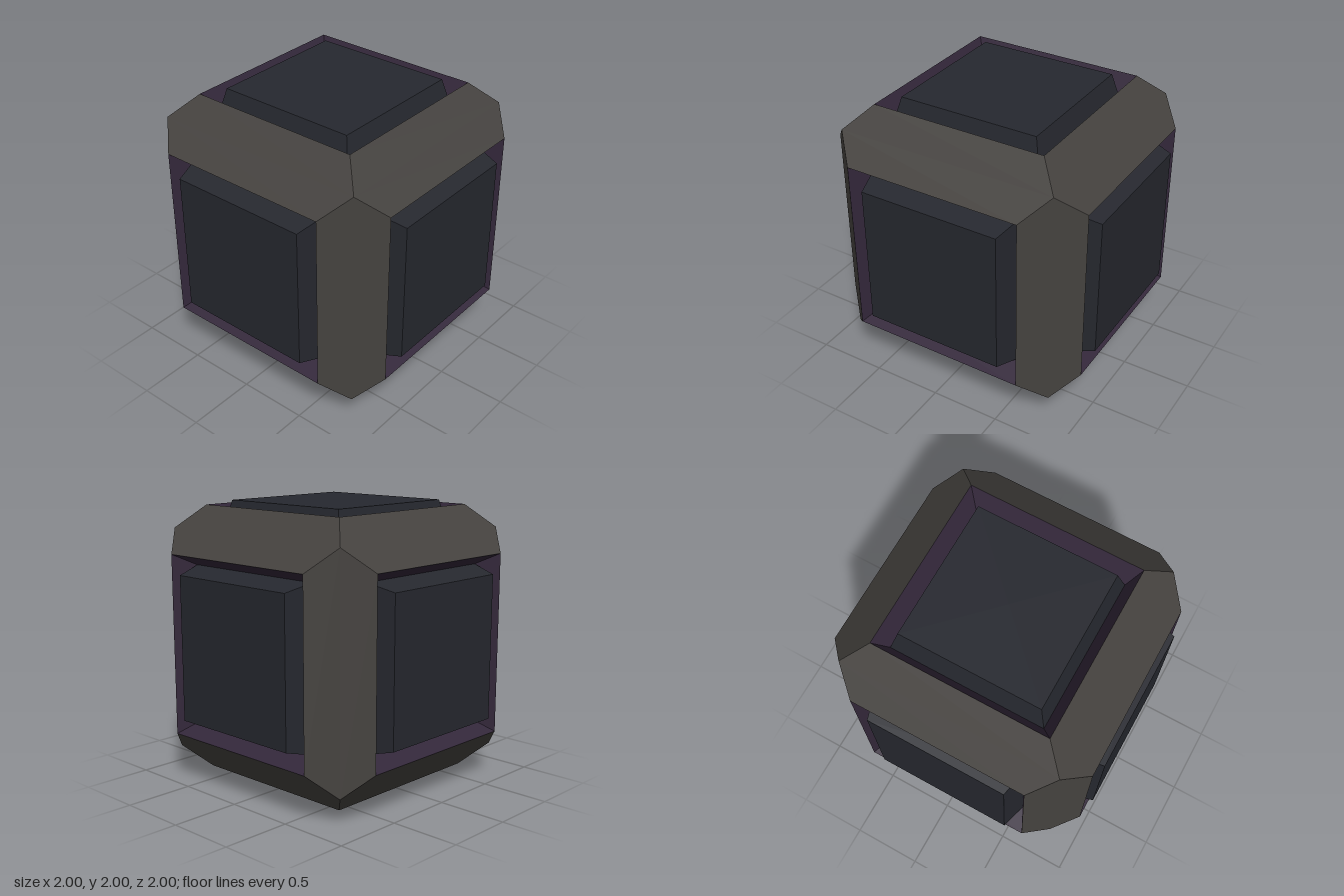
import * as THREE from 'three';

const U = 1 / 6.2; // grid unit: the cube measures 12.4 units across the panels

const frameMat = new THREE.MeshStandardMaterial({ color: 0x45423f, flatShading: true });
const grooveMat = new THREE.MeshStandardMaterial({ color: 0x33273a, flatShading: true });
const panelMat = new THREE.MeshStandardMaterial({ color: 0x26282f, flatShading: true });

// Strip running along y through stations [x, z, halfLength], so its ends are mitred
function mitredStrip(stations) {
  const pos = [];
  for (let i = 0; i < stations.length - 1; i++) {
    const [ax, az, al] = stations[i];
    const [bx, bz, bl] = stations[i + 1];
    pos.push(ax, -al, az, bx, -bl, bz, bx, bl, bz);
    pos.push(ax, -al, az, bx, bl, bz, ax, al, az);
  }
  const geo = new THREE.BufferGeometry();
  geo.setAttribute('position', new THREE.Float32BufferAttribute(pos, 3));
  geo.scale(U, U, U);
  geo.computeVertexNormals();
  return geo;
}

function addMesh(parent, name, geo, mat) {
  const mesh = new THREE.Mesh(geo, mat);
  mesh.name = name;
  parent.add(mesh);
  return mesh;
}

export function createModel() {
  const model = new THREE.Group();
  model.name = 'framedCube';
  const cube = new THREE.Group();
  cube.name = 'cube';
  cube.position.y = 1;
  model.add(cube);

  // Chamfered edge bars with sloping groove walls on either side
  const chamfer = mitredStrip([[4, 6, 4], [5, 5, 5], [6, 4, 4]]);
  const wallA = mitredStrip([[3.5, 5, 3.5], [4, 6, 4]]);
  const wallB = mitredStrip([[6, 4, 4], [5, 3.5, 3.5]]);
  const axes = [[0, 0, 0], [0, 0, Math.PI / 2], [Math.PI / 2, 0, 0]];
  for (const rotation of axes) {
    const edgeSet = new THREE.Group();
    edgeSet.name = 'parallelEdges';
    edgeSet.rotation.set(...rotation);
    cube.add(edgeSet);
    for (let i = 0; i < 4; i++) {
      const edge = new THREE.Group();
      edge.name = 'edgeBar';
      edge.rotation.y = i * Math.PI / 2;
      addMesh(edge, 'chamfer', chamfer, frameMat);
      addMesh(edge, 'grooveWall', wallA, grooveMat);
      addMesh(edge, 'grooveWall', wallB, grooveMat);
      edgeSet.add(edge);
    }
  }

  // Raised tapered panel in each of the six faces
  const panel = new THREE.CylinderGeometry(3.2 * Math.SQRT2 * U, 3.5 * Math.SQRT2 * U, 1.2 * U, 4);
  panel.rotateY(Math.PI / 4);
  panel.translate(0, 5.6 * U, 0);
  const up = new THREE.Vector3(0, 1, 0);
  const faces = {
    topPanel: [0, 1, 0], bottomPanel: [0, -1, 0],
    leftPanel: [1, 0, 0], rightPanel: [-1, 0, 0],
    frontPanel: [0, 0, 1], backPanel: [0, 0, -1],
  };
  for (const [name, dir] of Object.entries(faces)) {
    addMesh(cube, name, panel, panelMat)
      .quaternion.setFromUnitVectors(up, new THREE.Vector3(...dir));
  }
  return model;
}
